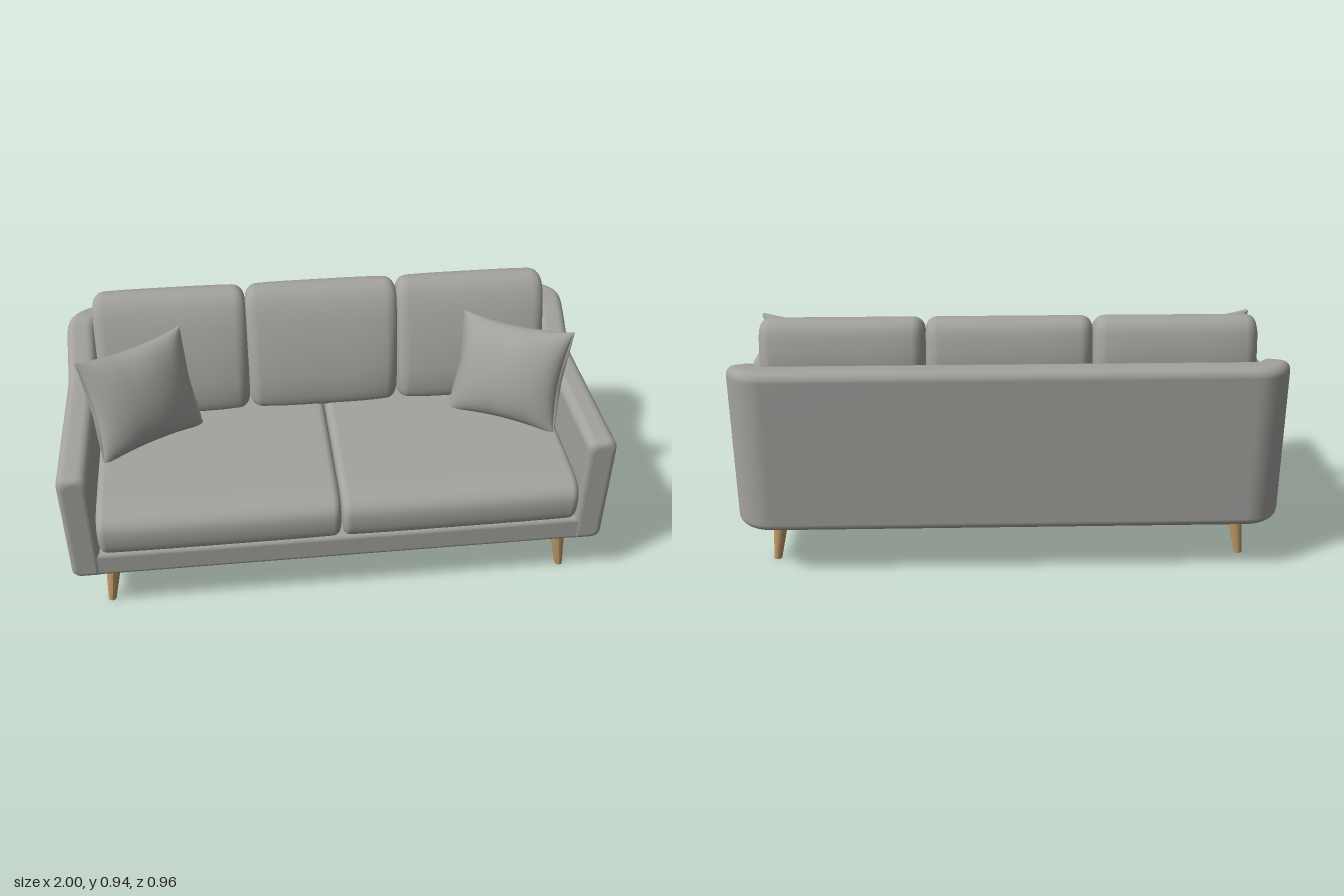
import * as THREE from 'three';
import { RoundedBoxGeometry } from 'three/addons/geometries/RoundedBoxGeometry.js';

// Skin a row of closed rings of [x, y, z] points and close both ends with flat caps.
function loft(rings) {
  const n = rings[0].length, pos = rings.flat(2), index = [];
  for (let i = 0; i < rings.length - 1; i++) {
    for (let j = 0; j < n; j++) {
      const k = (j + 1) % n, a = i * n + j, b = i * n + k;
      index.push(a, b, a + n, b, b + n, a + n);
    }
  }
  [[rings[0], true], [rings[rings.length - 1], false]].forEach(([ring, first]) => {
    const start = pos.length / 3;
    ring.forEach((p) => pos.push(...p));
    pos.push(...[0, 1, 2].map((c) => ring.reduce((s, p) => s + p[c], 0) / n));
    for (let j = 0; j < n; j++) {
      const a = start + j, b = start + (j + 1) % n;
      index.push(start + n, ...(first ? [b, a] : [a, b]));
    }
  });
  // Turn the faces outward when the signed volume is negative.
  let volume = 0;
  const v = (i) => new THREE.Vector3().fromArray(pos, i * 3);
  for (let i = 0; i < index.length; i += 3) {
    volume += v(index[i]).dot(v(index[i + 1]).cross(v(index[i + 2])));
  }
  if (volume < 0) index.reverse();
  const geometry = new THREE.BufferGeometry();
  geometry.setAttribute('position', new THREE.Float32BufferAttribute(pos, 3));
  geometry.setIndex(index);
  geometry.computeVertexNormals();
  return geometry;
}

// Wraparound wall: arms and back swept along a U, rising toward the back.
function shellGeometry() {
  const thick = 0.11, corner = 0.14, bottom = 0.19, front = 0.46, back = -0.48, soft = 0.022;
  const path = []; // outer x, z, inward direction x, z, edge inset
  for (let i = 0; i <= 5; i++) {
    const a = (i / 5) * Math.PI / 2;
    path.push([1, front - soft * (1 - Math.sin(Math.PI / 2 - a)), -1, 0, soft * (1 - Math.sin(a))]);
  }
  const zc = back + corner, xc = 1 - corner;
  for (let i = 1; i <= 24; i++) path.push([1, THREE.MathUtils.lerp(front - soft, zc, i / 24), -1, 0, 0]);
  for (let i = 1; i <= 10; i++) {
    const a = (i / 10) * Math.PI / 2, c = Math.cos(a), s = Math.sin(a);
    path.push([xc + corner * c, zc - corner * s, -c, s, 0]);
  }
  path.push([0, back, 0, 1, 0]);
  const mirrored = path.slice(0, -1).reverse().map(([x, z, dx, dz, e]) => [-x, z, -dx, dz, e]);

  return loft([...path, ...mirrored].map(([x, z, dx, dz, e]) => {
    const top = 0.66 + 0.14 * THREE.MathUtils.smoothstep(-z, 0.13, 0.4) - e;
    const low = bottom + e, o0 = e, o1 = thick - e, ring = [];
    // Rounded corners: offset, height, radius, start angle
    [[o0, low, 0.03, 2], [o1, low, 0.006, 3], [o1, top, 0.035, 0], [o0, top, 0.035, 1]].forEach(([o, y, r, q]) => {
      const co = o === o0 ? o + r : o - r, cy = y === low ? y + r : y - r;
      for (let i = 0; i <= 5; i++) {
        const a = (q + i / 5) * Math.PI / 2;
        const off = co + r * Math.cos(a);
        ring.push([x + dx * off, cy + r * Math.sin(a), z + dz * off]);
      }
    });
    return ring;
  }));
}

// Soft cushion: a side profile of [z, y] points carried across x with rounded ends.
function cushionGeometry(profile, x0, x1, round, puff) {
  const curve = new THREE.CatmullRomCurve3(profile.map(([z, y]) => new THREE.Vector3(0, y, z)), true);
  const pts = curve.getPoints(48).slice(0, -1);
  const box = new THREE.Box3().setFromPoints(pts);
  const mid = box.getCenter(new THREE.Vector3()), size = box.getSize(new THREE.Vector3());
  const stations = [];
  for (let i = 0; i <= 6; i++) {
    const a = (i / 6) * Math.PI / 2;
    stations.push([x0 + round * (1 - Math.cos(a - Math.PI / 2 + Math.PI / 2)), round * (1 - Math.sin(a))]);
  }
  for (let i = 1; i < 10; i++) stations.push([THREE.MathUtils.lerp(x0 + round, x1 - round, i / 10), 0]);
  for (let i = 6; i >= 0; i--) stations.push([x0 + x1 - stations[i][0], stations[i][1]]);
  return loft(stations.map(([x, inset]) => {
    const u = Math.abs((2 * x - x0 - x1) / (x1 - x0));
    const sz = (1 - 2 * inset / size.z) * (1 - puff * u ** 4), sy = 1 - 2 * inset / size.y;
    return pts.map((p) => [x, mid.y + (p.y - mid.y) * sy, mid.z + (p.z - mid.z) * sz]);
  }));
}

// Throw pillow: two puffed faces with pinched, inward-curving edges and a few soft folds.
function pillowGeometry(width, height, depth) {
  const n = 20, rows = [];
  const point = (u, v, side) => {
    const fill = Math.max(0, (1 - u * u) * (1 - v * v));
    const fold = 1 + 0.06 * Math.sin(9 * u) * v * v;
    return [
      u * width / 2 * (1 - 0.1 * (1 - v * v) * u * u),
      v * height / 2 * (1 - 0.1 * (1 - u * u) * v * v),
      side * (0.006 + depth / 2 * Math.pow(fill, 0.55) * fold),
    ];
  };
  for (let i = 0; i <= n; i++) {
    const u = Math.sin((i / n - 0.5) * Math.PI), ring = [];
    for (let j = 0; j <= n; j++) ring.push(point(u, Math.sin((j / n - 0.5) * Math.PI), 1));
    for (let j = n; j >= 0; j--) ring.push(point(u, Math.sin((j / n - 0.5) * Math.PI), -1));
    rows.push(ring);
  }
  return loft(rows);
}

export function createModel() {
  const sofa = new THREE.Group();
  sofa.name = 'sofa';
  const fabric = new THREE.MeshStandardMaterial({ color: 0xa3a29e });
  fabric.name = 'grey fabric';
  const wood = new THREE.MeshStandardMaterial({ color: 0xc09b6a });
  wood.name = 'light wood';
  const add = (name, geometry, material = fabric) => {
    const mesh = new THREE.Mesh(geometry, material);
    mesh.name = name;
    sofa.add(mesh);
    return mesh;
  };

  // Frame
  add('armsAndBack', shellGeometry());
  add('base', new RoundedBoxGeometry(1.92, 0.108, 0.875, 4, 0.02)).position.set(0, 0.245, 0.02);

  // Seat and back cushions
  const seat = [[0.445, 0.3], [0.47, 0.32], [0.48, 0.38], [0.47, 0.43], [0.43, 0.462], [0.3, 0.477],
    [0, 0.485], [-0.25, 0.485], [-0.3, 0.46], [-0.3, 0.32], [-0.27, 0.295], [0.1, 0.295]];
  add('rightSeatCushion', cushionGeometry(seat, -0.888, -0.002, 0.03, 0.01));
  add('leftSeatCushion', cushionGeometry(seat, 0.002, 0.888, 0.03, 0.01));
  const rest = [[-0.16, 0.47], [-0.12, 0.49], [-0.112, 0.56], [-0.13, 0.66], [-0.165, 0.77], [-0.21, 0.87],
    [-0.255, 0.928], [-0.305, 0.945], [-0.355, 0.925], [-0.382, 0.86], [-0.395, 0.78], [-0.395, 0.55], [-0.36, 0.47]];
  [['right', -0.88, -0.297], ['middle', -0.295, 0.295], ['left', 0.297, 0.88]].forEach(([side, x0, x1]) => {
    add(side + 'BackCushion', cushionGeometry(rest, x0, x1, 0.045, 0.12));
  });

  for (const s of [-1, 1]) {
    const side = s > 0 ? 'left' : 'right';
    // Throw pillows, turned inward and leaning back
    const pillow = add(side + 'ThrowPillow', pillowGeometry(0.43, 0.41, 0.17));
    pillow.position.set(s * 0.71, 0.665, -0.01);
    pillow.rotation.set(-0.33, -s * 0.51, 0, 'YXZ');

    // Splayed tapered legs
    [['Front', 0.37, 0.385], ['Back', -0.3, -0.32]].forEach(([end, zTop, zFoot]) => {
      const leg = new THREE.CylinderGeometry(0.032, 0.015, 0.2, 12);
      const p = leg.attributes.position;
      for (let i = 0; i < p.count; i++) {
        const t = p.getY(i) / 0.2 + 0.5;
        p.setXYZ(i, p.getX(i) + s * THREE.MathUtils.lerp(0.88, 0.853, t), t * 0.2,
          p.getZ(i) + THREE.MathUtils.lerp(zFoot, zTop, t));
      }
      leg.computeVertexNormals();
      add(side + end + 'Leg', leg, wood);
    });
  }
  return sofa;
}
